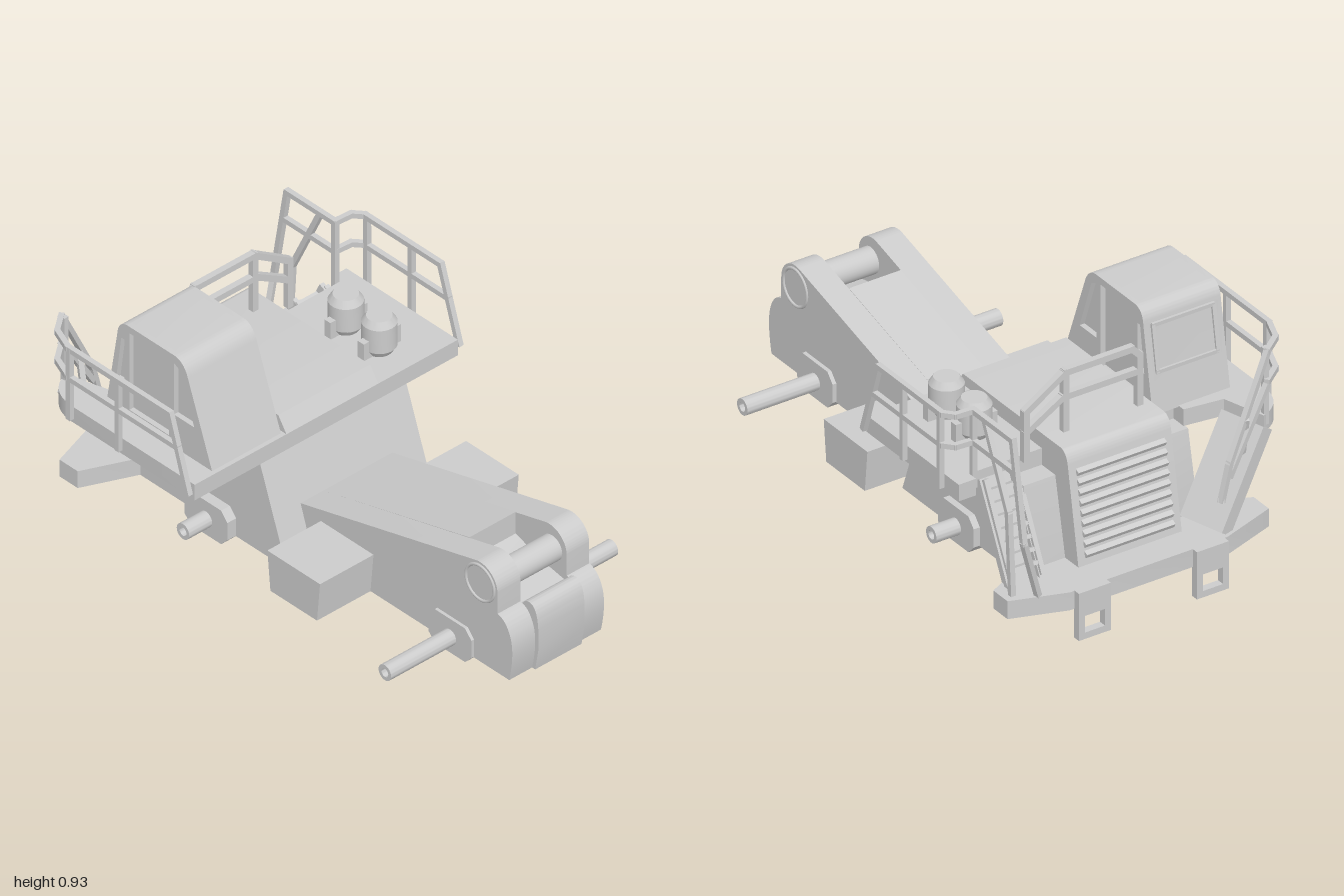
import * as THREE from 'three';
import { toCreasedNormals } from 'three/addons/utils/BufferGeometryUtils.js';

const mat = new THREE.MeshStandardMaterial({ color: 0xcccccc });
const V = (a) => new THREE.Vector3(...a);
const poly = (pts) => new THREE.Shape(pts.map(([x, y]) => new THREE.Vector2(x, y)));

export function createModel() {
  const model = new THREE.Group();

  const add = (name, geo, parent = model) => {
    const m = new THREE.Mesh(geo, mat);
    m.name = name;
    parent.add(m);
    return m;
  };
  const box = (name, x0, x1, y0, y1, z0, z1, parent) =>
    add(name, new THREE.BoxGeometry(x1 - x0, y1 - y0, z1 - z0)
      .translate((x0 + x1) / 2, (y0 + y1) / 2, (z0 + z1) / 2), parent);
  const extrude = (shape, depth) =>
    toCreasedNormals(new THREE.ExtrudeGeometry(shape, { depth, bevelEnabled: false, curveSegments: 16 }), 0.6);
  // side profile (x, y) pulled along z
  const side = (name, shape, z0, z1) => add(name, extrude(shape, z1 - z0).translate(0, 0, z0));
  // plan outline (x, z) pulled along y
  const plan = (name, shape, y0, y1) => add(name, extrude(shape, y1 - y0).rotateX(Math.PI / 2).translate(0, y1, 0));
  // cylinder along z
  const rod = (name, x, y, r, z0, z1, parent) =>
    add(name, new THREE.CylinderGeometry(r, r, z1 - z0, 28).rotateX(Math.PI / 2).translate(x, y, (z0 + z1) / 2), parent);
  // square bars through a list of points
  const bars = (name, pts, parent, t = 0.02) => {
    for (let i = 1; i < pts.length; i++) {
      const a = V(pts[i - 1]), b = V(pts[i]);
      const m = add(name, new THREE.BoxGeometry(t, t, a.distanceTo(b) + t * 0.7), parent);
      m.position.copy(a).add(b).multiplyScalar(0.5);
      m.lookAt(b);
    }
  };
  const group = (name) => {
    const g = new THREE.Group();
    g.name = name;
    model.add(g);
    return g;
  };

  // rear body, hood and walkway deck
  side('rearBody', poly([[-0.78, 0.115], [0, 0.115], [-0.13, 0.48], [-0.72, 0.48], [-0.78, 0.18]]), -0.365, 0.305);
  const hood = poly([[-0.87, 0.115], [-0.4, 0.115], [-0.13, 0.48], [-0.13, 0.545], [-0.17, 0.603], [-0.75, 0.603]]);
  hood.quadraticCurveTo(-0.785, 0.603, -0.795, 0.55);
  side('hood', hood, -0.235, 0.185);
  const deck = poly([[-0.13, -0.6], [-0.13, 0.605], [-0.74, 0.605]]);
  deck.quadraticCurveTo(-0.85, 0.6, -0.885, 0.5);
  [[-0.72, 0.45], [-0.7, 0.3], [-0.64, 0.3], [-0.64, -0.53], [-0.68, -0.53], [-0.68, -0.6]].forEach((p) => deck.lineTo(...p));
  plan('deck', deck, 0.48, 0.545);

  // grille louvres on the sloping rear face
  const grille = group('grille');
  for (let i = 0; i < 9; i++) {
    const y = 0.225 + i * 0.037;
    const x = -0.87 + (y - 0.115) * 0.172;
    const m = box('louvre', -0.012, 0.012, -0.009, 0.009, -0.205, 0.155, grille);
    m.position.set(x, y, 0);
    m.rotation.z = 0.5;
  }

  // rear bumper with hanging steps
  plan('bumper', poly([[-0.975, -0.35], [-0.905, -0.555], [-0.82, -0.555], [-0.72, -0.36],
    [-0.72, 0.3], [-0.81, 0.51], [-0.9, 0.51], [-0.975, 0.29]]), 0.115, 0.185);
  for (const z of [0.215, -0.265]) {
    const step = group('hangingStep');
    for (const s of [-1, 1]) box('stepSide', -1, -0.97, 0, 0.185, z + s * 0.053 - 0.012, z + s * 0.053 + 0.012, step);
    box('stepTread', -1, -0.97, 0, 0.025, z - 0.065, z + 0.065, step);
    box('stepTop', -1, -0.97, 0.09, 0.185, z - 0.065, z + 0.065, step);
  }

  // ladders: solid back, stringers and treads between two points
  const ladder = (name, low, high, across, width) => {
    const g = group(name);
    const a = V(low), b = V(high);
    const up = b.clone().sub(a), len = up.length();
    up.normalize();
    const w = V(across).normalize();
    w.addScaledVector(up, -w.dot(up)).normalize();
    const out = new THREE.Vector3().crossVectors(w, up);
    g.quaternion.setFromRotationMatrix(new THREE.Matrix4().makeBasis(w, up, out));
    g.position.copy(a);
    const h = width / 2;
    box('back', -h, h, 0, len, -0.025, -0.012, g);
    for (const s of [-1, 1]) box('stringer', s * h - 0.009, s * h + 0.009, 0, len, -0.025, 0.03, g);
    for (let i = 1; i < 8; i++) box('tread', -h, h, i * len / 8 - 0.007, i * len / 8 + 0.007, -0.02, 0.028, g);
  };
  ladder('leftLadder', [-0.87, 0.185, 0.27], [-0.81, 0.5, 0.48], [0.95, 0, -0.28], 0.165);
  ladder('rightLadder', [-0.82, 0.185, -0.43], [-0.66, 0.52, -0.43], [0, 0, 1], 0.125);
  for (const z of [-0.5, -0.37]) bars('ladderCheek', [[-0.83, 0.185, z], [-0.665, 0.52, z]]);

  // cab: solid core with windowed side panels
  const cabShape = (inset) => {
    const s = poly([[-0.67 + inset, 0.54], [-0.145 - inset, 0.54], [-0.265 - inset, 0.865]]);
    s.quadraticCurveTo(-0.285 - inset, 0.927 - inset, -0.335, 0.927 - inset);
    s.lineTo(-0.56, 0.927 - inset);
    s.quadraticCurveTo(-0.61 + inset, 0.927 - inset, -0.615 + inset, 0.865);
    return s;
  };
  side('cabCore', cabShape(0), 0.215, 0.49);
  const panel = cabShape(0);
  panel.holes.push(
    poly([[-0.555, 0.58], [-0.555, 0.9], [-0.36, 0.9], [-0.36, 0.58]]),
    poly([[-0.335, 0.68], [-0.335, 0.895], [-0.305, 0.88], [-0.235, 0.68]]),
    poly([[-0.62, 0.68], [-0.595, 0.86], [-0.58, 0.86], [-0.58, 0.68]]));
  side('cabPanel', panel, 0.49, 0.51);
  side('cabPanel', panel, 0.195, 0.215);
  bars('rearWindowFrame', [[-0.645, 0.69, 0.23], [-0.618, 0.86, 0.23], [-0.618, 0.86, 0.475],
    [-0.645, 0.69, 0.475], [-0.645, 0.69, 0.23]], model, 0.014);

  // air cleaners
  for (const x of [-0.435, -0.27]) {
    const g = group('airCleaner');
    const prof = [[0, 0.545], [0.045, 0.545], [0.062, 0.57], [0.062, 0.665], [0.045, 0.69], [0, 0.69]];
    add('canister', toCreasedNormals(new THREE.LatheGeometry(prof.map((p) => new THREE.Vector2(...p)), 28), 0.5)
      .translate(x, 0, -0.37), g);
    box('bracket', x - 0.015, x + 0.015, 0.545, 0.615, -0.455, -0.285, g);
  }

  // deck railings, mirrored left and right
  for (const [s, rear] of [
    [1, [[-0.74, 0.62], [-0.83, 0.585], [-0.885, 0.515]]],
    [-1, [[-0.61, 0.62], [-0.645, 0.59], [-0.65, 0.52], [-0.72, 0.52]]]]) {
    const g = group(s > 0 ? 'leftRailing' : 'rightRailing');
    for (const [y, x] of [[0.795, -0.235], [0.675, -0.195]])
      bars('rail', [[x, y, s * 0.62], ...rear.map(([rx, rz]) => [rx, y, s * rz])], g);
    bars('endPost', [[-0.145, 0.51, s * 0.62], [-0.235, 0.795, s * 0.62]], g);
    for (const x of s > 0 ? [-0.49, -0.73] : [-0.38, -0.6]) bars('post', [[x, 0.51, s * 0.62], [x, 0.795, s * 0.62]], g);
    const [ex, ez] = s > 0 ? [-0.87, 0.515] : [-0.65, 0.52];
    bars('post', [[ex, 0.51, s * ez], [ex, 0.795, s * ez]], g);
  }

  // handrails following the ladders
  const hand = group('handrails');
  bars('leftHandrail', [[-0.885, 0.795, 0.515], [-0.945, 0.45, 0.32], [-0.955, 0.32, 0.28], [-0.915, 0.3, 0.31]], hand);
  bars('leftHandrailInner', [[-0.9, 0.67, 0.5], [-0.945, 0.4, 0.32]], hand);
  bars('leftHandrailPost', [[-0.925, 0.58, 0.4], [-0.87, 0.4, 0.42]], hand);
  bars('rightHandrail', [[-0.72, 0.795, -0.52], [-0.885, 0.795, -0.52], [-0.95, 0.42, -0.52], [-0.93, 0.19, -0.45]], hand);
  bars('rightHandrailLower', [[-0.72, 0.675, -0.52], [-0.9, 0.675, -0.52]], hand);
  bars('rightHandrailBrace', [[-0.72, 0.795, -0.52], [-0.86, 0.5, -0.52], [-0.88, 0.185, -0.52]], hand);

  // hood guard rail
  const guard = group('hoodRail');
  const gx = -0.665;
  bars('rail', [[gx, 0.6, 0.14], [gx, 0.8, 0.14], [gx, 0.832, 0.11], [gx, 0.832, -0.16],
    [gx, 0.73, -0.32], [gx, 0.545, -0.32]], guard, 0.024);
  bars('midRail', [[gx, 0.738, 0.14], [gx, 0.738, -0.17], [gx, 0.65, -0.32]], guard, 0.024);
  bars('post', [[gx, 0.6, -0.16], [gx, 0.832, -0.16]], guard, 0.024);

  // front boom: solid centre with two rounded side cheeks
  side('boomCentre', poly([[0, 0.115], [0.95, 0.115], [0.95, 0.33], [0.78, 0.36], [0.66, 0.4], [0.66, 0.49], [-0.06, 0.295]]), -0.132, 0.08);
  const cheek = poly([[0, 0.115], [0.97, 0.115]]);
  cheek.quadraticCurveTo(1, 0.25, 0.97, 0.31);
  cheek.quadraticCurveTo(0.95, 0.355, 0.912, 0.36);
  cheek.lineTo(0.912, 0.445);
  cheek.absarc(0.827, 0.445, 0.085, 0, 1.83, false);
  cheek.lineTo(-0.06, 0.295);
  for (const [z0, z1, face] of [[0.08, 0.185, 0.185], [-0.235, -0.132, -0.235]]) {
    side('boomCheek', cheek, z0, z1);
    add('pinRing', new THREE.TorusGeometry(0.07, 0.006, 8, 36).translate(0.827, 0.445, face));
  }
  const lug = poly([[0.88, 0.115], [0.985, 0.115], [1, 0.2], [1, 0.29]]);
  lug.quadraticCurveTo(0.995, 0.38, 0.955, 0.38);
  lug.quadraticCurveTo(0.93, 0.38, 0.92, 0.35);
  lug.lineTo(0.88, 0.33);
  side('frontLug', lug, -0.132, 0.08);
  rod('boomPin', 0.84, 0.44, 0.05, -0.14, 0.09);

  // side boxes beside the boom
  const tank = poly([[0.055, 0.115], [0.285, 0.115], [0.3, 0.275], [0.04, 0.275]]);
  side('sideBox', tank, 0.18, 0.43);
  side('sideBox', tank, -0.48, -0.23);

  // axle pads and hollow axle stubs
  const pad = (x) => poly([[x - 0.075, 0.085], [x + 0.075, 0.085], [x + 0.106, 0.118], [x + 0.106, 0.19],
    [x + 0.075, 0.225], [x - 0.075, 0.225], [x - 0.106, 0.19], [x - 0.106, 0.118]]);
  side('rearAxlePad', pad(-0.355), -0.01, 0.345);
  side('rearAxlePad', pad(-0.355), -0.39, -0.04);
  side('frontAxlePad', pad(0.69), -0.25, 0.197);
  for (const [x, z0, z1] of [[-0.355, -0.49, 0.45], [0.69, -0.545, 0.495]]) {
    const tube = new THREE.Shape().absarc(x, 0.15, 0.031, 0, Math.PI * 2, false);
    tube.holes.push(new THREE.Path().absarc(x, 0.15, 0.017, 0, Math.PI * 2, true));
    side('axle', tube, z0, z1);
    rod('axleCore', x, 0.15, 0.018, z0 + 0.03, z1 - 0.03);
  }
  return model;
}
